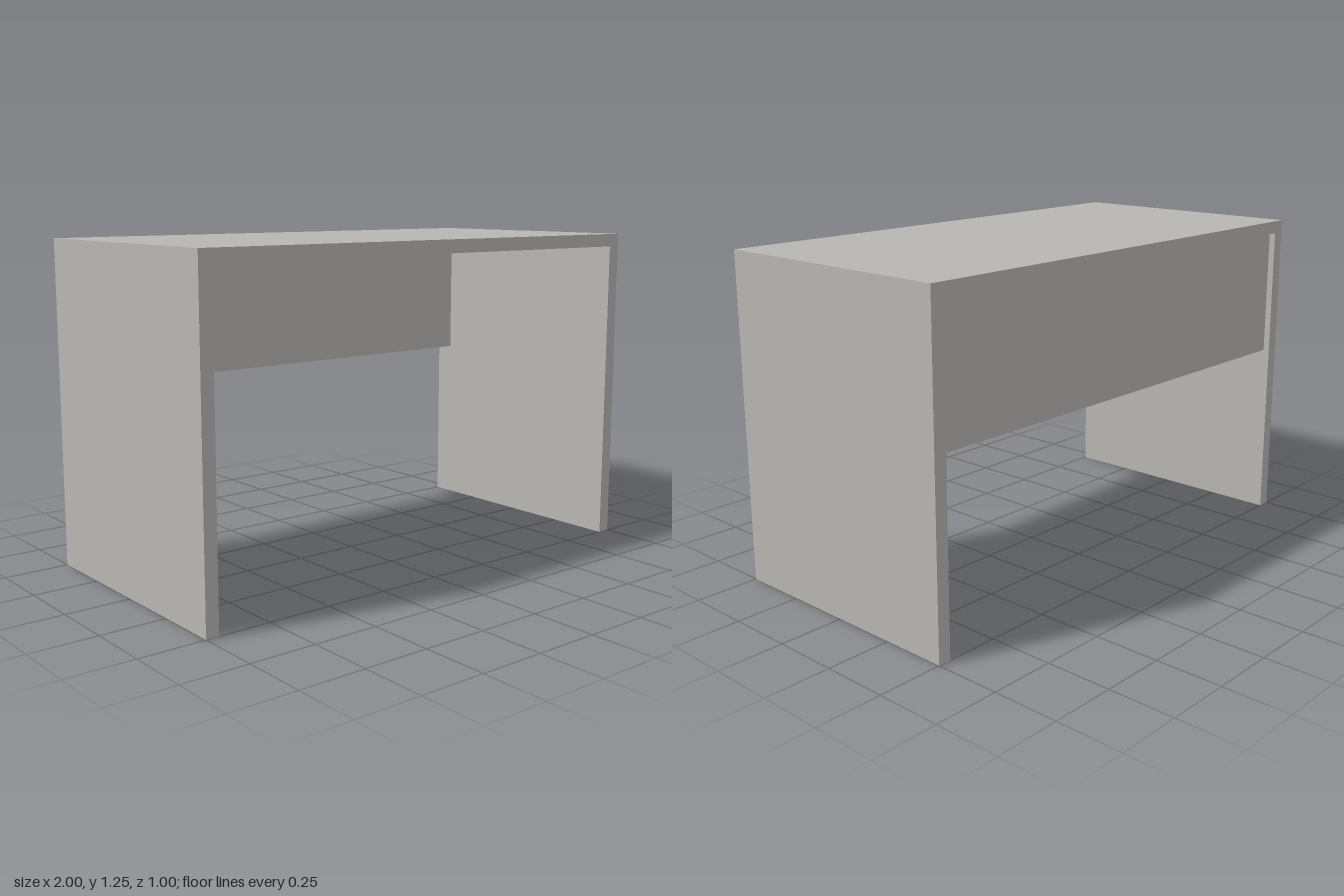
import * as THREE from 'three';

export function createModel() {
  const group = new THREE.Group();
  group.name = 'desk';
  const grey = new THREE.MeshStandardMaterial({ color: 0xb8b6b3 });
  grey.name = 'warm grey';

  const width = 2, height = 1.25, depth = 1, board = 0.05;
  const outer = width / 2, inner = outer - board;

  // Top and both side panels as one continuous upside-down U
  const outline = new THREE.Shape([
    [-outer, 0], [-inner, 0], [-inner, height - board], [inner, height - board],
    [inner, 0], [outer, 0], [outer, height], [-outer, height],
  ].map(([x, y]) => new THREE.Vector2(x, y)));
  const frameGeometry = new THREE.ExtrudeGeometry(outline, { depth, bevelEnabled: false });
  frameGeometry.translate(0, 0, -depth / 2);
  const frame = new THREE.Mesh(frameGeometry, grey);
  frame.name = 'topAndSides';
  group.add(frame);

  // Modesty panel, set slightly in from the back edge
  const panelHeight = 0.5, recess = 0.025;
  const panel = new THREE.Mesh(new THREE.BoxGeometry(inner * 2, panelHeight, board), grey);
  panel.name = 'modestyPanel';
  panel.position.set(0, height - board - panelHeight / 2, -depth / 2 + recess + board / 2);
  group.add(panel);

  return group;
}
